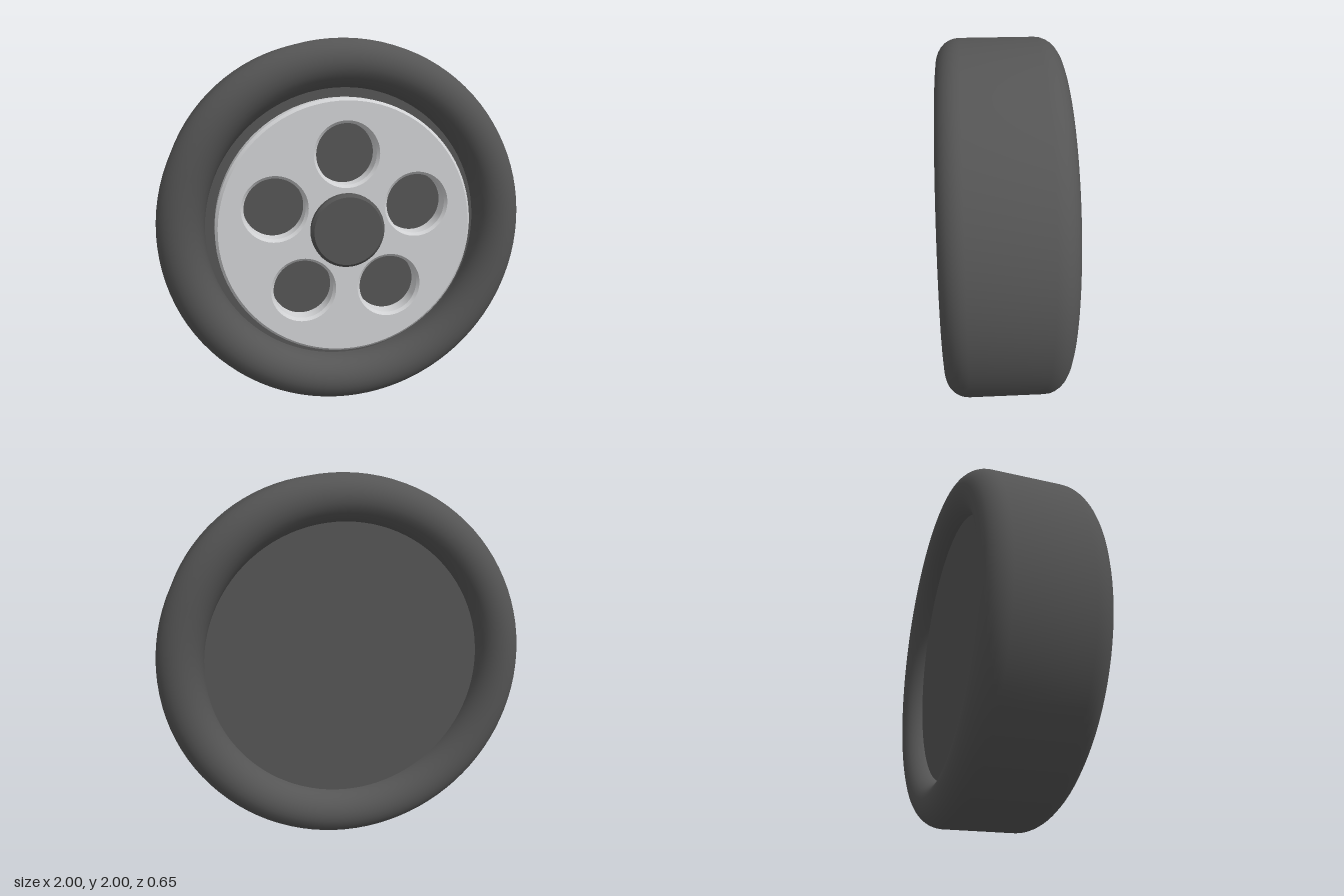
import * as THREE from 'three';
import { toCreasedNormals } from 'three/addons/utils/BufferGeometryUtils.js';

const rubber = new THREE.MeshStandardMaterial({ color: 0x555555 });
rubber.name = 'dark rubber';
const metal = new THREE.MeshStandardMaterial({ color: 0xd2d3d5 });
metal.name = 'light metal';

const CREASE = Math.PI / 7;

// Lathe around the wheel's axle (z); points are [radius, z]
function turned(points, segments) {
  const geo = new THREE.LatheGeometry(points.map(([r, z]) => new THREE.Vector2(r, z)), segments);
  geo.rotateX(Math.PI / 2);
  return toCreasedNormals(geo, CREASE);
}

function add(group, name, geometry, material) {
  const mesh = new THREE.Mesh(geometry, material);
  mesh.name = name;
  group.add(mesh);
}

export function createModel() {
  const wheel = new THREE.Group();
  wheel.name = 'wheel';

  // Tyre: flat tread with fully rounded shoulders on both sides
  const half = 0.325, round = 0.125, crest = 0.875, steps = 14;
  const profile = [];
  for (const side of [-1, 1]) {
    for (let i = 0; i <= steps; i++) {
      const a = (i / steps) * Math.PI + (side < 0 ? Math.PI : 0);
      profile.push([crest + round * Math.cos(a), side * (half - round) + round * Math.sin(a)]);
    }
  }
  profile.push([crest - round, -(half - round)]);
  add(wheel, 'tyre', turned(profile, 96), rubber);

  // Solid core: closes the back and forms the floor behind the holes
  add(wheel, 'core', turned([[0, -0.22], [0.755, -0.22], [0.755, 0.175], [0, 0.175]], 96), rubber);

  // Rim disc with five round holes and a chamfered edge
  const face = new THREE.Shape().absarc(0, 0, 0.7, 0, Math.PI * 2);
  for (let i = 0; i < 5; i++) {
    const a = Math.PI / 2 + (i * Math.PI * 2) / 5;
    const hole = new THREE.Path();
    hole.absarc(0.405 * Math.cos(a), 0.405 * Math.sin(a), 0.163, 0, Math.PI * 2, true);
    face.holes.push(hole);
  }
  const disc = new THREE.ExtrudeGeometry(face, {
    depth: 0.09, curveSegments: 48, bevelEnabled: true,
    bevelThickness: 0.015, bevelSize: 0.015, bevelOffset: -0.015, bevelSegments: 1,
  });
  disc.translate(0, 0, 0.17);
  add(wheel, 'rimDisc', toCreasedNormals(disc, CREASE), metal);

  // Raised centre cap
  add(wheel, 'hubCap', turned([[0.2, 0.17], [0.2, 0.305], [0.185, 0.32], [0, 0.32]], 48), rubber);

  wheel.position.y = 1;
  const model = new THREE.Group();
  model.name = 'model';
  model.add(wheel);
  return model;
}
